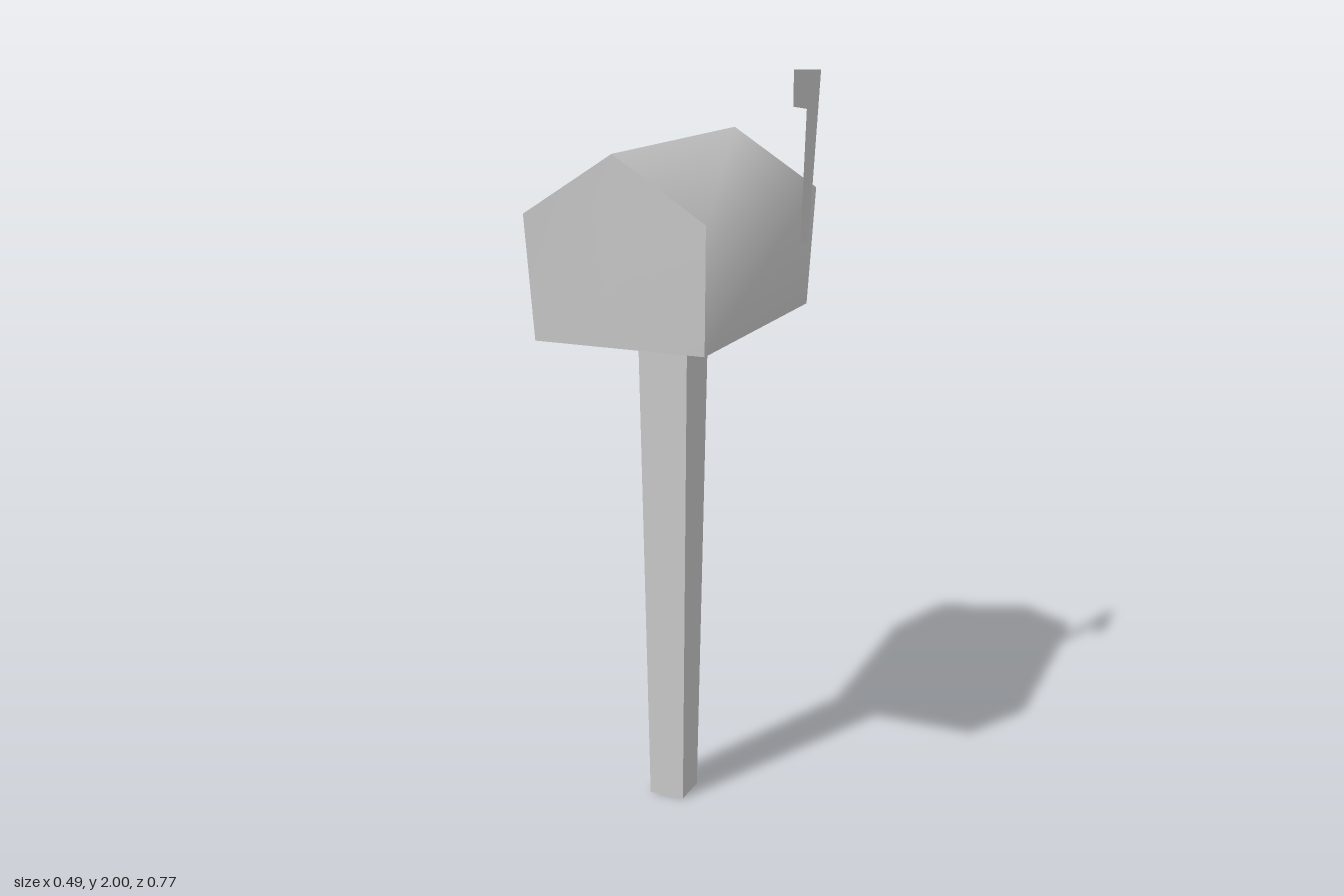
import * as THREE from 'three';
import { toCreasedNormals } from 'three/addons/utils/BufferGeometryUtils.js';

const shapeOf = (pts) => new THREE.Shape(pts.map(([x, y]) => new THREE.Vector2(x, y)));

export function createModel() {
  const group = new THREE.Group();
  const add = (name, geometry, options = {}) => {
    const mesh = new THREE.Mesh(geometry, new THREE.MeshStandardMaterial({ color: 0xcccccc, ...options }));
    mesh.name = name;
    group.add(mesh);
    return mesh;
  };

  // Box with a pitched roof; its ends lean inwards towards the floor
  const length = 0.77, floorLength = 0.722;
  let box = new THREE.ExtrudeGeometry(
    shapeOf([[-0.228, 1.36], [0.228, 1.36], [0.24, 1.677], [0, 1.83], [-0.24, 1.677]]),
    { depth: length, bevelEnabled: false });
  box.translate(-0.008, 0, -length / 2);
  const p = box.attributes.position;
  for (let i = 0; i < p.count; i++) {
    if (p.getY(i) < 1.4) p.setZ(i, p.getZ(i) * floorLength / length);
  }
  // Walls flow smoothly into the roof; ridge, floor and ends stay sharp
  box = toCreasedNormals(box, 1.09);
  add('mailboxBody', box);

  // Hollow square post, wider at the top
  const post = new THREE.CylinderGeometry(0.07 * Math.SQRT2, 0.05 * Math.SQRT2, 1.36, 4, 1, true);
  post.rotateY(Math.PI / 4);
  post.translate(-0.022, 0.68, 0);
  add('post', post, { flatShading: true, side: THREE.DoubleSide });

  // Thin signal flag beside the left wall
  const flag = new THREE.ShapeGeometry(shapeOf([
    [0.154, 2], [0.154, 1.908], [0.258, 1.895], [0.229, 1.545], [0.293, 1.54], [0.365, 1.99]]));
  flag.rotateY(Math.PI / 2);
  flag.translate(0.245, 0, 0);
  add('flag', flag, { side: THREE.DoubleSide });

  return group;
}
